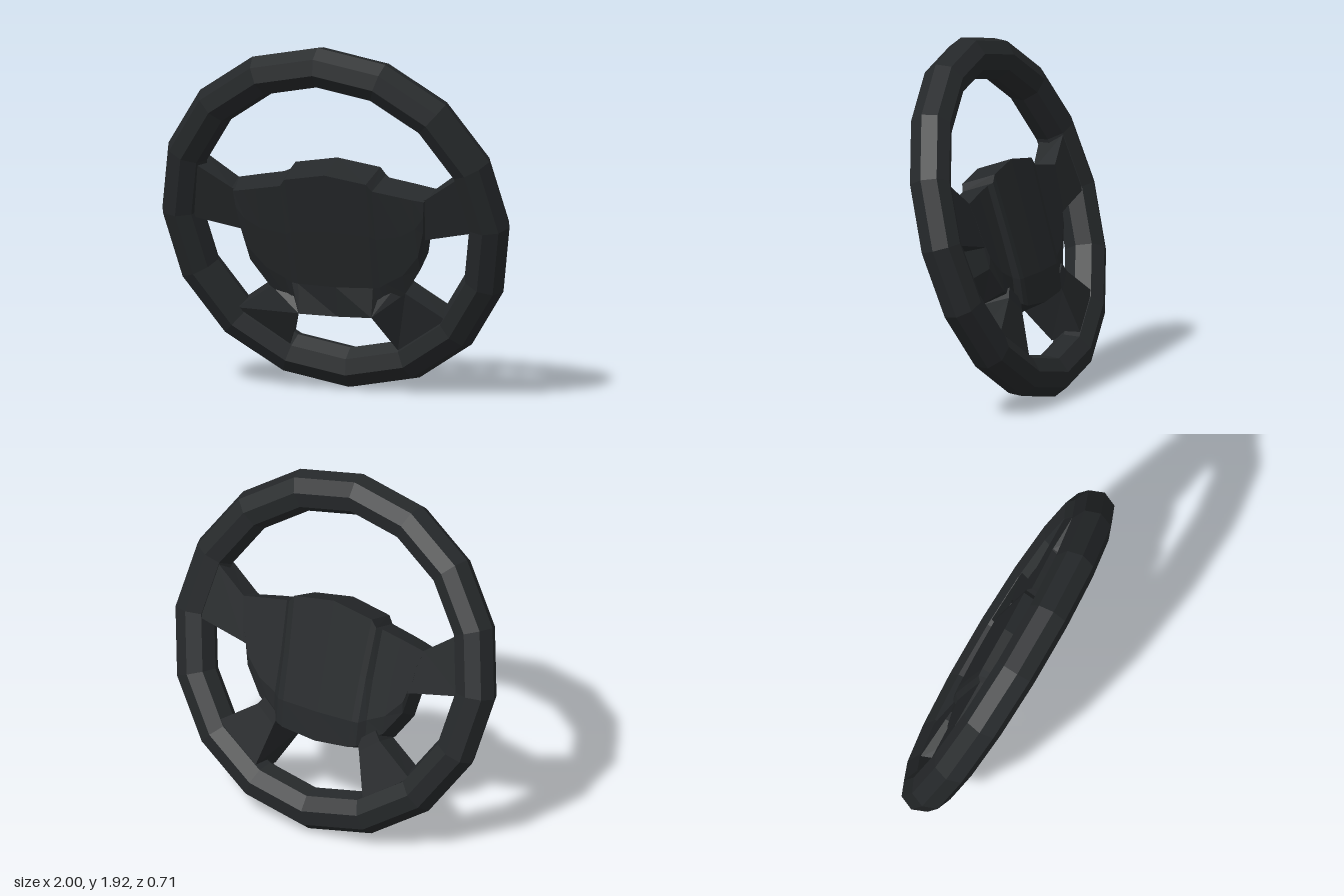
import * as THREE from 'three';

const material = new THREE.MeshStandardMaterial({ color: 0x25282a, flatShading: true, roughness: 0.8 });

function addMesh(parent, name, geometry) {
  const mesh = new THREE.Mesh(geometry, material);
  mesh.name = name;
  parent.add(mesh);
}

// Skins a row of closed cross-sections and caps both ends
function loft(rings) {
  const n = rings[0].length;
  const pos = [];
  const tri = (a, b, c) => pos.push(...a, ...b, ...c);
  for (let i = 0; i < rings.length - 1; i++) {
    for (let j = 0; j < n; j++) {
      const k = (j + 1) % n;
      tri(rings[i][j], rings[i][k], rings[i + 1][k]);
      tri(rings[i][j], rings[i + 1][k], rings[i + 1][j]);
    }
  }
  const first = rings[0];
  const last = rings[rings.length - 1];
  for (let j = 1; j < n - 1; j++) {
    tri(first[0], first[j + 1], first[j]);
    tri(last[0], last[j], last[j + 1]);
  }
  const geometry = new THREE.BufferGeometry();
  geometry.setAttribute('position', new THREE.Float32BufferAttribute(pos, 3));
  geometry.computeVertexNormals();
  return geometry;
}

const mirrorRings = (rings) => rings.map((r) => r.map(([x, y, z]) => [-x, y, z])).reverse();

// Hub column: top and bottom corners, front depths (top, bottom), back depth
function hubRing([xt, yt, xb, yb, zTop, zBottom, zBack]) {
  const mix = (a, b, t) => a + (b - a) * t;
  const at = (t, z) => [mix(xt, xb, t), mix(yt, yb, t), z];
  return [
    at(0, zTop), at(0.4, zTop + 0.01), at(0.8, zTop + 0.01), at(1, zBottom),
    [xb, yb + 0.04, zBack + 0.02], at(0.75, zBack), at(0.4, zBack),
    [xt * 1.04, yt + 0.013, zBack],
  ];
}

export function createModel() {
  const model = new THREE.Group();
  model.name = 'steeringWheel';

  // Everything is built upright, then tilted forward
  const wheel = new THREE.Group();
  wheel.name = 'tiltedWheel';
  wheel.rotation.x = THREE.MathUtils.degToRad(16);
  wheel.position.y = 0.961;
  model.add(wheel);

  addMesh(wheel, 'rim', new THREE.TorusGeometry(0.885, 0.115, 8, 16));

  // Hub with raised centre section and two ridges at the lower front
  const half = [
    [0.235, 0.25, 0.21, -0.51, 0.1, 0.164, -0.106],
    [0.265, 0.21, 0.25, -0.495, 0.095, 0.1, -0.1],
    [0.29, 0.205, 0.29, -0.465, 0.094, 0.09, -0.076],
    [0.41, 0.183, 0.39, -0.39, 0.09, 0.085, -0.075],
    [0.49, 0.167, 0.49, -0.245, 0.085, 0.08, -0.075],
    [0.55, 0.155, 0.525, -0.07, 0.075, 0.07, -0.075],
  ].map(hubRing);
  const centre = hubRing([0, 0.29, 0, -0.53, 0.1, 0.13, -0.108]);
  addMesh(wheel, 'hub', loft([...mirrorRings(half), centre, ...half]));

  // Side spokes: front top, front bottom, back bottom, back top
  const sideSpoke = [
    [[0.5, 0.14, 0.06], [0.47, -0.1, 0.05], [0.47, -0.1, -0.074], [0.5, 0.157, -0.074]],
    [[0.56, 0.165, 0.06], [0.53, -0.08, 0.05], [0.53, -0.08, -0.074], [0.57, 0.17, -0.074]],
    [[0.75, 0.295, 0.07], [0.83, -0.015, 0.06], [0.83, -0.015, -0.078], [0.75, 0.302, -0.078]],
  ];

  // Lower spokes: front outer, front inner, back inner, back outer
  const lowerSpoke = [
    [[0.35, -0.34, 0.07], [0.19, -0.45, 0.11], [0.25, -0.42, -0.072], [0.35, -0.34, -0.072]],
    [[0.385, -0.395, 0.075], [0.21, -0.508, 0.164], [0.27, -0.48, -0.072], [0.385, -0.39, -0.072]],
    [[0.6, -0.54, 0.07], [0.31, -0.73, 0.085], [0.34, -0.73, -0.078], [0.6, -0.54, -0.078]],
  ];

  for (const [name, rings] of [['SideSpoke', sideSpoke], ['LowerSpoke', lowerSpoke]]) {
    addMesh(wheel, 'left' + name, loft(rings));
    addMesh(wheel, 'right' + name, loft(mirrorRings(rings)));
  }
  return model;
}
